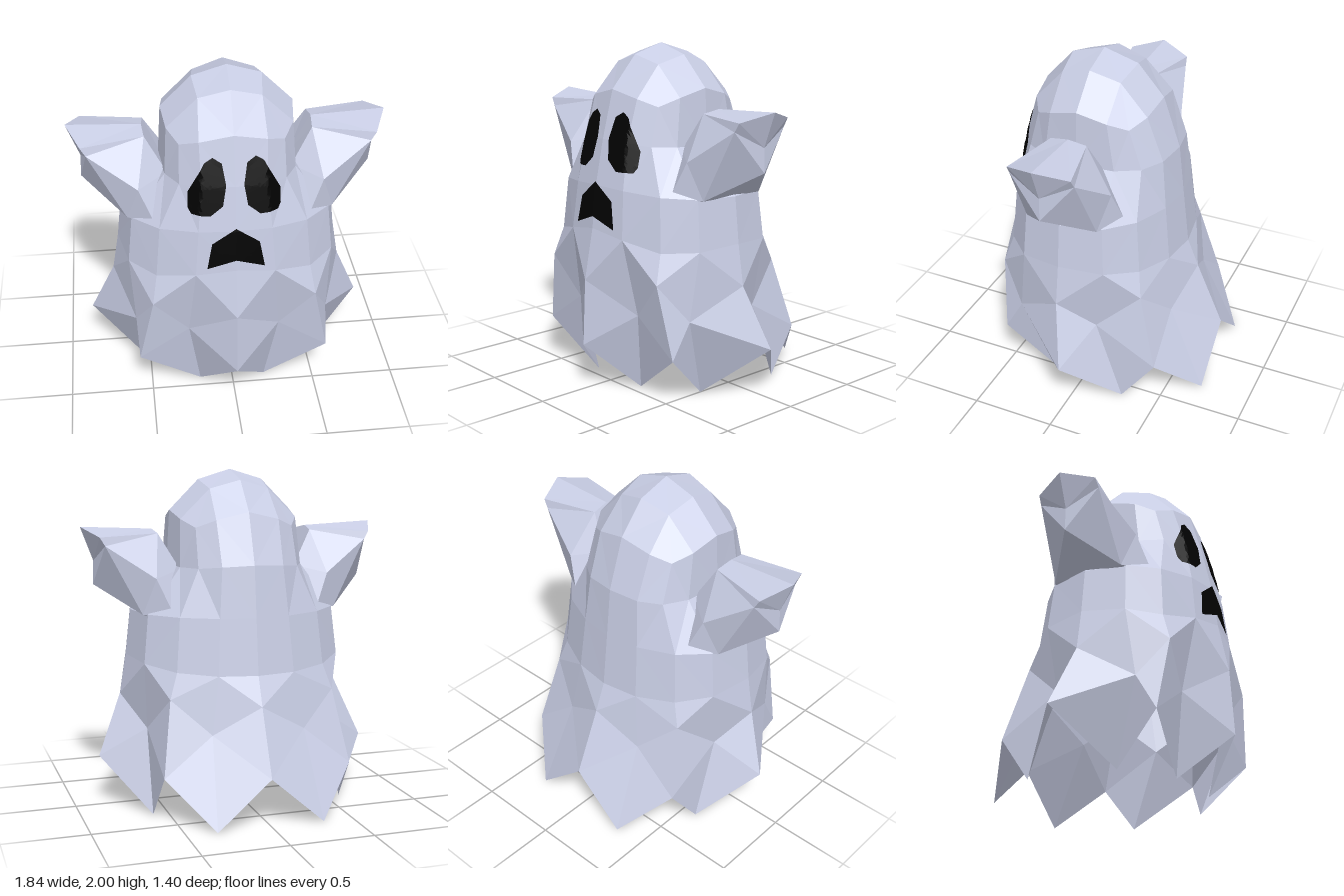
import * as THREE from 'three';

const AXIS = 0.09; // depth of the head and arm centre line

// Skin consecutive closed rings (first ring lies furthest along the ring normal),
// folding every four-cornered face along its shorter diagonal
function skin(rings) {
  const pos = [];
  const dist = (p, q) => Math.hypot(p[0] - q[0], p[1] - q[1], p[2] - q[2]);
  const tri = (a, b, c) => {
    if (Math.min(dist(a, b), dist(b, c), dist(a, c)) > 1e-6) pos.push(...a, ...b, ...c);
  };
  for (let i = 0; i < rings.length - 1; i++) {
    const up = rings[i], low = rings[i + 1], n = up.length;
    for (let j = 0; j < n; j++) {
      const k = (j + 1) % n;
      if (dist(up[j], low[k]) < dist(low[j], up[k])) {
        tri(up[j], low[j], low[k]);
        tri(up[j], low[k], up[k]);
      } else {
        tri(up[j], low[j], up[k]);
        tri(low[j], low[k], up[k]);
      }
    }
  }
  const g = new THREE.BufferGeometry();
  g.setAttribute('position', new THREE.Float32BufferAttribute(pos, 3));
  g.computeVertexNormals();
  return g;
}

// Complete a half ring by mirroring its inner points
const mirrorRing = (half, flip) => [...half, ...half.slice(1, -1).reverse().map(flip)];
const flipX = ([x, y, z]) => [-x, y, z];
const flipZ = ([x, y, z]) => [x, y, 2 * AXIS - z];

// Rounded half ring from front centre round the left side to back centre.
// power sets how square it is; the edge dips at the diagonal corners.
function drapeRing({ width, front, back, power, yFront, ySide, yBack, dipFront, dipBack }) {
  return Array.from({ length: 9 }, (_, j) => {
    const a = j * Math.PI / 8, s = Math.sin(a), c = Math.abs(Math.cos(a));
    const ahead = j <= 4;
    const z = AXIS + ((ahead ? front : back) - AXIS) * c ** 0.78;
    const y = (ahead ? yFront : yBack) * c * c + ySide * s * s
      - (ahead ? dipFront : dipBack) * Math.sin(2 * a) ** 2;
    return [j === 8 ? 0 : width * s ** power, y, j === 4 ? AXIS : z];
  });
}

export function createModel() {
  const group = new THREE.Group();
  const cloth = new THREE.MeshStandardMaterial({ color: 0xc8cde4, side: THREE.DoubleSide, flatShading: true });
  cloth.name = 'pale lavender cloth';
  const black = new THREE.MeshStandardMaterial({ color: 0x020202, side: THREE.DoubleSide });
  black.name = 'black';
  const add = (name, geometry, material) => {
    const m = new THREE.Mesh(geometry, material);
    m.name = name;
    group.add(m);
    return m;
  };

  // Crown of the head: eight flat patches round the top point
  const top = Array(9).fill([0, 2, AXIS]);
  const corner = z => Array(3).fill([0.18, 1.89, z]);
  const crown = [[0, 1.94, 0.29], ...corner(0.27), [0.2, 1.94, AXIS], ...corner(-0.09), [0, 1.94, -0.12]];

  // Head and torso
  const drape = [
    { width: 0.38, front: 0.46, back: -0.28, power: 0.72, yFront: 1.75, ySide: 1.76, yBack: 1.76, dipFront: 0.09, dipBack: 0.09 },
    { width: 0.4, front: 0.535, back: -0.385, power: 0.8, yFront: 1.47, ySide: 1.44, yBack: 1.46, dipFront: 0.01, dipBack: 0.01 },
    { width: 0.63, front: 0.59, back: -0.42, power: 1.15, yFront: 1.21, ySide: 1.17, yBack: 1.16, dipFront: 0.01, dipBack: 0 },
    { width: 0.66, front: 0.62, back: -0.46, power: 1.1, yFront: 0.96, ySide: 0.9, yBack: 0.83, dipFront: 0.06, dipBack: 0.015 },
  ].map(drapeRing);

  // Pleats and the zigzag hem
  const pleats = [[0, 0.66, 0.68], [0.27, 0.47, 0.51], [0.48, 0.7, 0.55], [0.58, 0.48, 0.39], [0.7, 0.66, 0.09],
    [0.58, 0.48, -0.11], [0.5, 0.7, -0.36], [0.28, 0.5, -0.47], [0, 0.66, -0.53]];
  const hem = [[0, 0.27, 0.7], [0.2, 0, 0.43], [0.57, 0.27, 0.51], [0.5, 0, 0.23], [0.85, 0.3, 0.01],
    [0.59, 0, -0.28], [0.57, 0.27, -0.48], [0.32, 0, -0.7], [0, 0.28, -0.7]];
  const sheet = [top, crown, ...drape, pleats, hem].map(h => mirrorRing(h, flipX));
  const body = add('sheetBody', skin(sheet), cloth);

  // Raised arms: half rings from top round the front to the bottom, tip to shoulder
  const tipSide = [0.81, 1.57, 0.285];
  const armRings = [
    Array(5).fill([0.845, 1.47, AXIS]),
    [[0.92, 1.67, AXIS], [0.84, 1.62, 0.28], tipSide, tipSide, [0.85, 1.33, AXIS]],
    [[0.49, 1.65, AXIS], [0.48, 1.63, 0.2], [0.53, 1.38, 0.37], [0.6, 1.165, 0.31], [0.6, 1.165, AXIS]],
    [[0.37, 1.42, AXIS], [0.36, 1.42, 0.25], [0.44, 1.17, 0.42], [0.53, 1.15, 0.3], [0.54, 1.15, AXIS]],
  ].map(h => mirrorRing(h, flipZ));
  add('leftArm', skin(armRings), cloth);
  add('rightArm', skin(armRings.map(r => r.map(flipX)).reverse()), cloth);

  // Face patches: fan-shaped outlines laid just over the sheet
  const ray = new THREE.Raycaster();
  const onFace = (x, y) => {
    ray.set(new THREE.Vector3(x, y, 2), new THREE.Vector3(0, 0, -1));
    return [x, y, ray.intersectObject(body)[0].point.z + 0.007];
  };
  const patch = (outline, [cx, cy]) => {
    const dense = outline.flatMap(([x, y], i) => {
      const [u, v] = outline[(i + 1) % outline.length];
      return [0, 1, 2, 3].map(s => [x + (u - x) * s / 4, y + (v - y) * s / 4]);
    });
    const rings = Array.from({ length: 7 }, (_, i) =>
      dense.map(([x, y]) => onFace(cx + (x - cx) * i / 6, cy + (y - cy) * i / 6)));
    return skin(rings);
  };

  // Eyes
  const eye = [[0.05, 1.48], [0.07, 1.36], [0.14, 1.3], [0.245, 1.3], [0.262, 1.33], [0.26, 1.42],
    [0.165, 1.6], [0.12, 1.63], [0.07, 1.6]];
  add('leftEye', patch(eye, [0.14, 1.45]), black);
  add('rightEye', patch(eye.map(([x, y]) => [-x, y]).reverse(), [-0.14, 1.45]), black);

  // Frowning mouth
  const mouth = [[0, 1.03], [0.165, 0.97], [0.135, 1.13], [0, 1.23], [-0.135, 1.13], [-0.165, 0.97]];
  add('mouth', patch(mouth, [0, 1.12]), black);

  return group;
}
